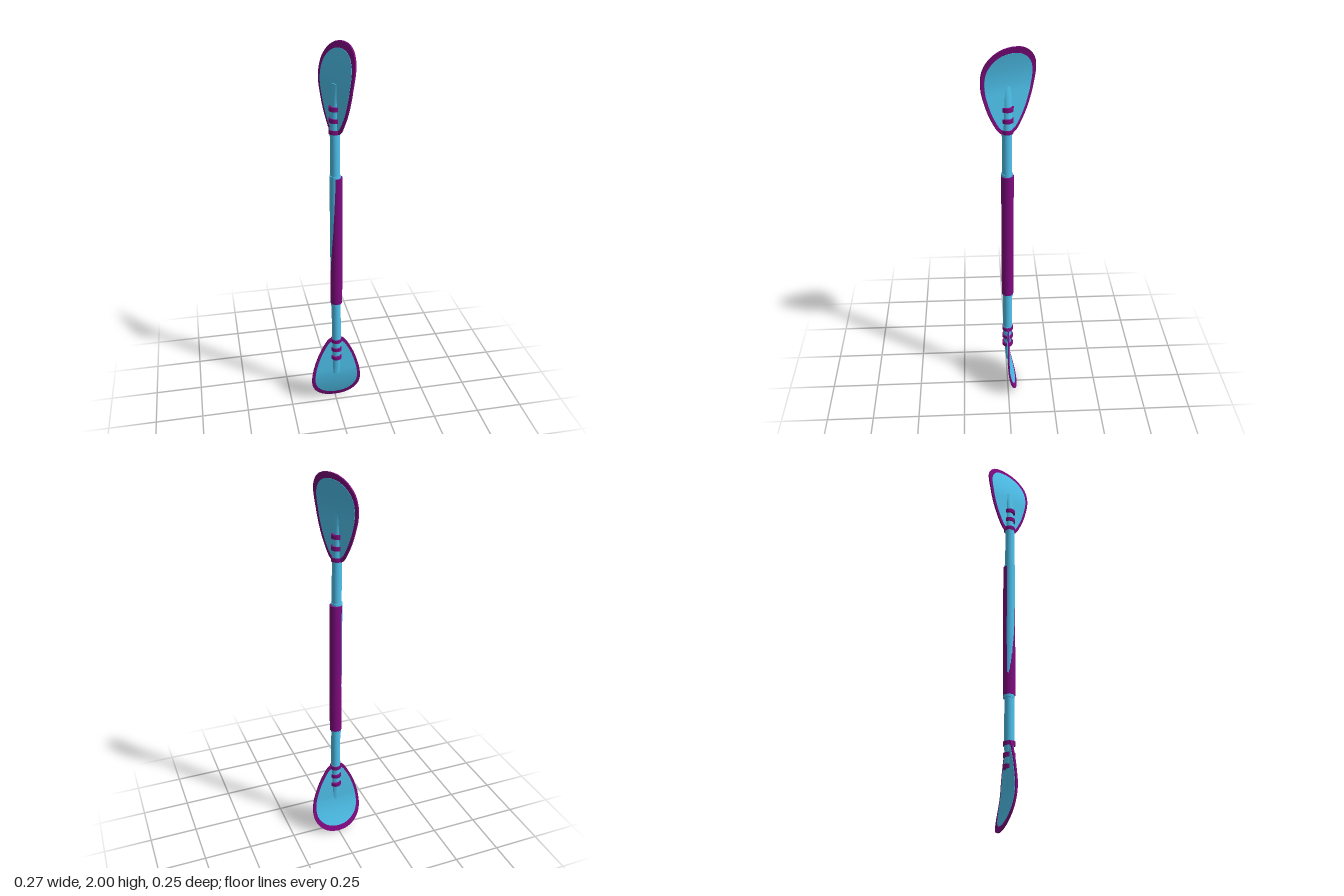
import * as THREE from 'three';

const blue = new THREE.MeshStandardMaterial({ color: 0x4fc3ee });
const purple = new THREE.MeshStandardMaterial({ color: 0x800a80 });

// Half outline of a blade: (half width, height), tip at y = 0
const outline = new THREE.SplineCurve([
  [0, 0], [0.05, 0.008], [0.095, 0.035], [0.126, 0.08], [0.136, 0.135], [0.13, 0.2],
  [0.118, 0.25], [0.1, 0.305], [0.08, 0.35], [0.052, 0.4], [0.03, 0.42], [0, 0.425],
].map(([x, y]) => new THREE.Vector2(x, y)));

// The blade curves backward toward its tip
const bend = (y) => -0.046 * Math.pow(Math.max(0, 0.21 - y) / 0.21, 1.7);

function add(parent, name, geometry, material) {
  const mesh = new THREE.Mesh(geometry, material);
  mesh.name = name;
  parent.add(mesh);
  return mesh;
}

// Thin curved plate following the outline, shrunk to fit between y0 and y1
function plate(widthScale, y0, y1, thickness) {
  const g = new THREE.BoxGeometry(2, 1, 1, 12, 48, 1);
  const p = g.attributes.position;
  for (let i = 0; i < p.count; i++) {
    const o = outline.getPoint(p.getY(i) + 0.5);
    const y = y0 + (o.y / 0.425) * (y1 - y0);
    p.setXYZ(i, p.getX(i) * Math.max(0, o.x) * widthScale, y, bend(y) - 0.002 + p.getZ(i) * thickness);
  }
  g.computeVertexNormals();
  return g;
}

// Shaft end that flattens into the blade
function taper() {
  const g = new THREE.CylinderGeometry(1, 1, 0.24, 32, 6);
  const p = g.attributes.position;
  for (let i = 0; i < p.count; i++) {
    const t = 0.5 - p.getY(i) / 0.24;
    p.setXYZ(i, p.getX(i) * (0.025 - 0.006 * t), p.getY(i) + 0.305,
      p.getZ(i) * (0.025 - 0.017 * Math.pow(t, 1.3)));
  }
  g.computeVertexNormals();
  return g;
}

function paddleEnd(name) {
  const end = new THREE.Group();
  end.name = name;
  add(end, 'bladeRim', plate(1, 0, 0.425, 0.008), purple);
  add(end, 'bladePanel', plate(0.87, 0.03, 0.405, 0.011), blue);
  add(end, 'shaftTaper', taper(), blue);
  for (const y of [0.41, 0.355, 0.3]) {
    add(end, 'band', new THREE.CylinderGeometry(0.029, 0.029, 0.02, 32), purple).position.y = y;
  }
  return end;
}

// Round bar between two points
function bar(parent, name, a, b, radius, material) {
  const from = new THREE.Vector3(...a), to = new THREE.Vector3(...b);
  const dir = to.clone().sub(from);
  const mesh = add(parent, name, new THREE.CylinderGeometry(radius, radius, dir.length(), 40), material);
  mesh.position.copy(from).add(to).multiplyScalar(0.5);
  mesh.quaternion.setFromUnitVectors(new THREE.Vector3(0, 1, 0), dir.normalize());
  return mesh;
}

export function createModel() {
  const model = new THREE.Group();
  model.name = 'paddle';

  // Shaft with sleeve and grip
  bar(model, 'shaft', [0, 0.4, 0], [-0.008, 1.6, 0.002], 0.024, blue);
  bar(model, 'sleeve', [-0.002, 0.635, -0.002], [-0.007, 1.37, 0.002], 0.0275, blue);
  bar(model, 'grip', [0, 0.65, 0], [-0.001, 1.358, 0], 0.0305, purple);

  // Two identical ends, the upper one turned over and feathered
  model.add(paddleEnd('lowerEnd'));
  const upper = paddleEnd('upperEnd');
  upper.rotation.set(Math.PI, 2.0, 0, 'YXZ');
  upper.position.set(-0.008, 2, 0);
  model.add(upper);
  return model;
}
